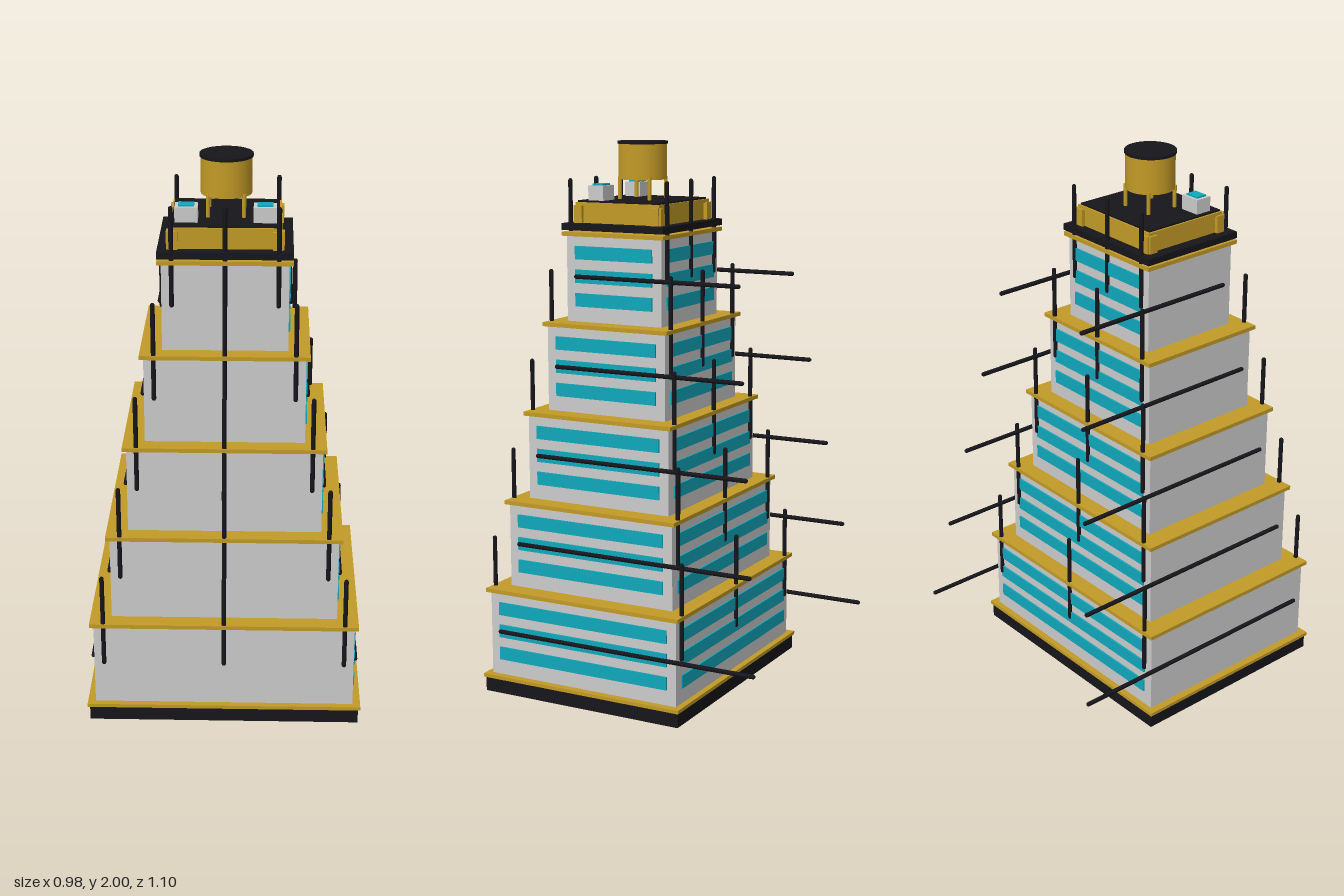
import * as THREE from 'three';

const grey = new THREE.MeshStandardMaterial({ color: 0xcccccc });
const gold = new THREE.MeshStandardMaterial({ color: 0xc29a26 });
const black = new THREE.MeshStandardMaterial({ color: 0x15151b });
const teal = new THREE.MeshStandardMaterial({ color: 0x10a8bc });

const CZ = 0.141; // the tower stands forward of the origin; side rods reach back

function add(parent, name, geometry, material, x, y, z) {
  const mesh = new THREE.Mesh(geometry, material);
  mesh.name = name;
  mesh.position.set(x, y, z);
  parent.add(mesh);
  return mesh;
}

// Box given by half extents in x and z and by its bottom and top
function slab(parent, name, material, hx, hz, y0, y1, x = 0, z = 0) {
  return add(parent, name, new THREE.BoxGeometry(hx * 2, y1 - y0, hz * 2), material, x, (y0 + y1) / 2, z);
}

function rod(parent, name, length, x, y, z) {
  const r = 0.008;
  return add(parent, name, new THREE.CapsuleGeometry(r, length - 2 * r, 4, 10), black, x, y, z);
}

function createTier(i) {
  const tier = new THREE.Group();
  tier.name = 'tier' + (i + 1);
  const y0 = 0.065 + i * 0.3225;
  const hx = 0.464 - i * 0.062, hz = 0.383 - i * 0.0475;

  slab(tier, 'walls', grey, hx, hz, y0, y0 + 0.315);
  slab(tier, 'ledge', gold, hx + 0.014, hz + 0.014, y0 + 0.312, y0 + 0.3265);

  // Window bands on the +x side and on the back
  for (const dy of [0.083, 0.168, 0.253]) {
    const a = y0 + dy - 0.024, b = y0 + dy + 0.024;
    slab(tier, 'sideWindow', teal, 0.006, hz - 0.036, a, b, hx);
    slab(tier, 'backWindow', teal, hx - 0.036, 0.006, a, b, 0, -hz);
  }

  // Upright rods on front and back
  for (const z of [-hz - 0.004, hz + 0.004]) {
    for (const x of [-1, 0, 1]) rod(tier, 'uprightRod', 0.355, x * (hx - 0.035), y0 + 0.337, z);
  }

  // Long level rods along both sides, reaching out behind
  const front = hz - 0.034, back = -0.55 + i * 0.0468 - CZ;
  for (const s of [-1, 1]) {
    rod(tier, 'levelRod', front - back, s * (hx + 0.007), y0 + 0.167, (front + back) / 2).rotation.x = Math.PI / 2;
  }
  return tier;
}

function createRoof() {
  const roof = new THREE.Group();
  roof.name = 'roof';
  slab(roof, 'roofSlab', black, 0.23, 0.207, 1.688, 1.712);

  // Penthouse with corner brackets, rim and dark top
  slab(roof, 'penthouse', gold, 0.186, 0.166, 1.71, 1.772);
  slab(roof, 'penthouseRim', gold, 0.191, 0.171, 1.772, 1.786);
  slab(roof, 'penthouseTop', black, 0.184, 0.164, 1.78, 1.792);
  for (const sx of [-1, 1]) {
    for (const sz of [-1, 1]) {
      slab(roof, 'cornerBracket', gold, 0.016, 0.007, 1.712, 1.775, sx * 0.176, sz * 0.172);
      slab(roof, 'cornerBracket', gold, 0.007, 0.016, 1.712, 1.775, sx * 0.192, sz * 0.156);
    }
  }

  // Rooftop units
  for (const s of [-1, 1]) {
    slab(roof, 'roofUnit', grey, 0.039, 0.031, 1.79, 1.845, s * 0.133, 0.097);
    slab(roof, 'roofUnitVent', teal, 0.027, 0.021, 1.84, 1.851, s * 0.133, 0.097);
  }

  // Water tank on four legs
  for (const sx of [-1, 1]) {
    for (const sz of [-1, 1]) {
      add(roof, 'tankLeg', new THREE.CylinderGeometry(0.007, 0.007, 0.085, 10), gold, sx * 0.061, 1.83, sz * 0.061);
    }
  }
  add(roof, 'tank', new THREE.CylinderGeometry(0.088, 0.088, 0.13, 32), gold, 0, 1.928, 0);
  add(roof, 'tankLid', new THREE.CylinderGeometry(0.092, 0.092, 0.01, 32), black, 0, 1.995, 0);
  return roof;
}

export function createModel() {
  const model = new THREE.Group();
  model.name = 'steppedTower';
  const tower = new THREE.Group();
  tower.name = 'tower';
  tower.position.z = CZ;
  model.add(tower);

  // Plinth
  slab(tower, 'plinth', black, 0.484, 0.4, 0, 0.056);
  slab(tower, 'plinthTrim', gold, 0.492, 0.406, 0.054, 0.067);

  for (let i = 0; i < 5; i++) tower.add(createTier(i));
  tower.add(createRoof());
  return model;
}
